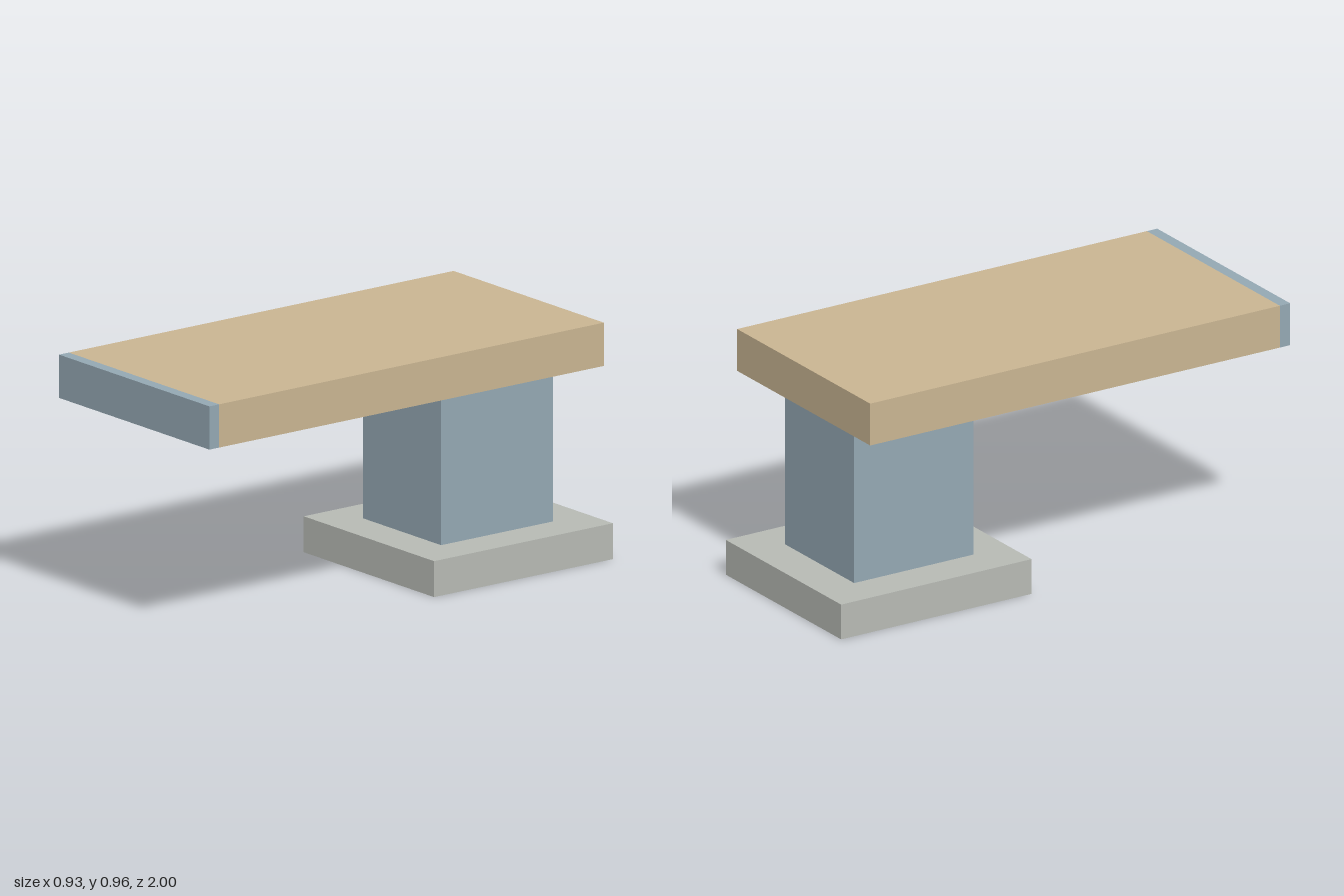
import * as THREE from 'three';

export function createModel() {
  const model = new THREE.Group();
  model.name = 'cantileverPlatform';

  const material = (name, color) => {
    const m = new THREE.MeshStandardMaterial({ color });
    m.name = name;
    return m;
  };
  const tan = material('tan', 0xc9b592);
  const blue = material('blueGrey', 0x94a8b3);
  const grey = material('stoneGrey', 0xb7bab4);

  // Box centred on x, given by its width and its y and z ranges
  const block = (name, mat, width, y0, y1, z0, z1) => {
    const mesh = new THREE.Mesh(new THREE.BoxGeometry(width, y1 - y0, z1 - z0), mat);
    mesh.name = name;
    mesh.position.set(0, (y0 + y1) / 2, (z0 + z1) / 2);
    model.add(mesh);
  };

  // Foot and column, set towards the back
  block('base', grey, 0.803, 0, 0.142, -1, -0.135);
  block('column', blue, 0.482, 0.142, 0.793, -0.836, -0.295);

  // Overhanging slab with its front edge band
  block('slab', tan, 0.926, 0.793, 0.964, -0.908, 0.953);
  block('frontEdge', blue, 0.926, 0.793, 0.964, 0.953, 1);

  return model;
}
